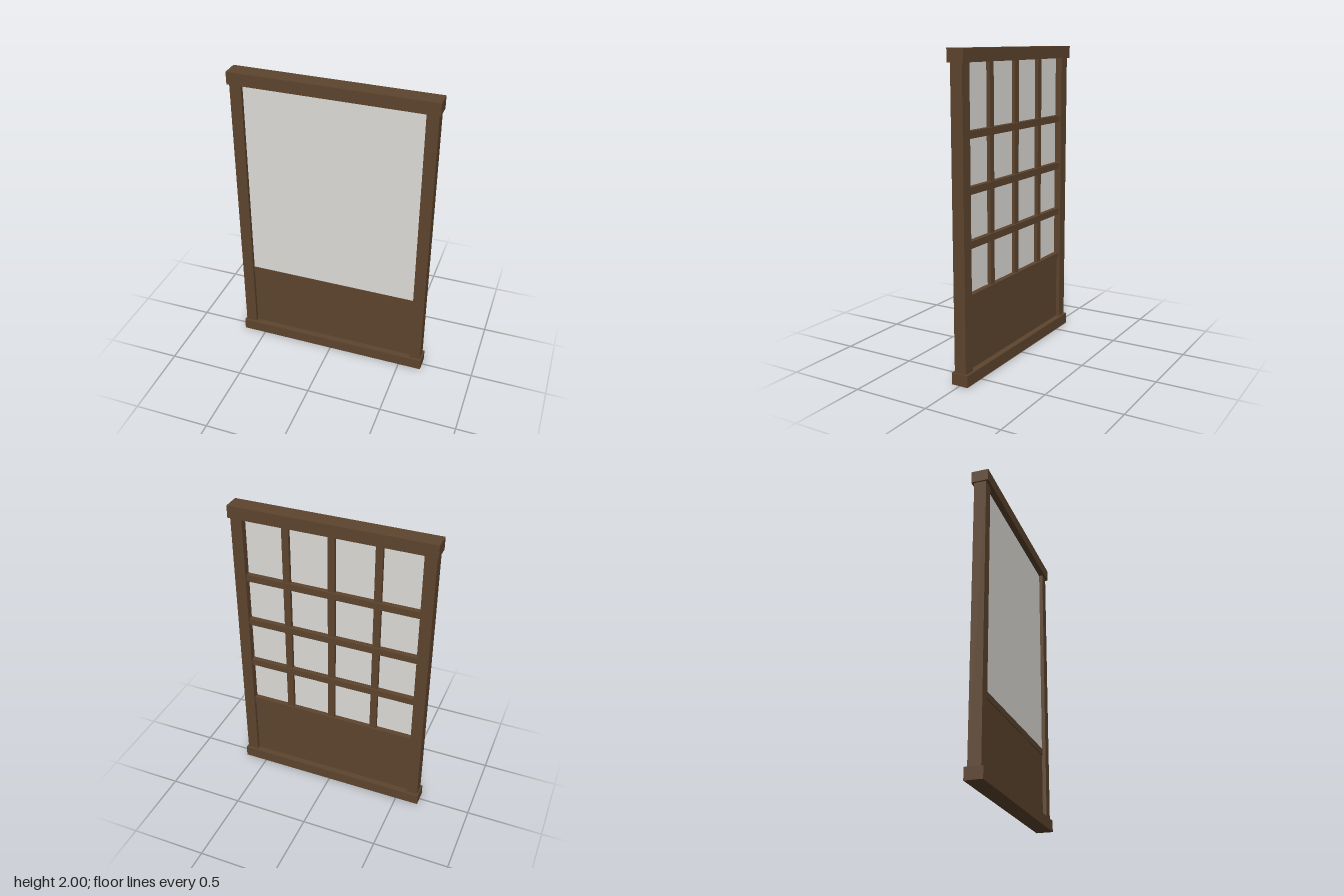
import * as THREE from 'three';

export function createModel() {
  const group = new THREE.Group();
  const wood = new THREE.MeshStandardMaterial({ color: 0x5e452e });
  wood.name = 'dark wood';
  const paper = new THREE.MeshStandardMaterial({ color: 0xe0ddd8 });
  paper.name = 'pale paper';

  // Box given by its extents on each axis
  function slab(name, material, [x0, x1], [y0, y1], [z0, z1]) {
    const mesh = new THREE.Mesh(new THREE.BoxGeometry(x1 - x0, y1 - y0, z1 - z0), material);
    mesh.position.set((x0 + x1) / 2, (y0 + y1) / 2, (z0 + z1) / 2);
    mesh.name = name;
    group.add(mesh);
  }

  const inner = 0.57, sill = 0.075, head = 1.92, railTop = 0.55;
  const opening = [-inner, inner];

  // Outer frame
  slab('bottomRail', wood, [-0.655, 0.655], [0, sill], [-0.056, 0.056]);
  slab('topRail', wood, [-0.655, 0.655], [head, 2], [-0.056, 0.056]);
  slab('leftStile', wood, [inner, 0.645], [sill, head], [-0.04, 0.04]);
  slab('rightStile', wood, [-0.645, -inner], [sill, head], [-0.04, 0.04]);

  // Lower panel and the rail above it
  slab('lowerPanel', wood, opening, [sill, 0.51], [-0.015, 0.015]);
  slab('middleRail', wood, opening, [0.508, railTop], [-0.028, 0.02]);

  // Paper sheet on the front of the lattice
  slab('paperSheet', paper, opening, [railTop, head], [0.006, 0.015]);

  // Lattice behind the paper
  for (const x of [-0.298, 0, 0.298]) {
    slab('latticeUpright', wood, [x - 0.0225, x + 0.0225], [railTop, head], [-0.018, 0.006]);
  }
  for (const y of [0.855, 1.18, 1.508]) {
    slab('latticeBar', wood, opening, [y - 0.0225, y + 0.0225], [-0.028, 0.006]);
  }
  return group;
}
